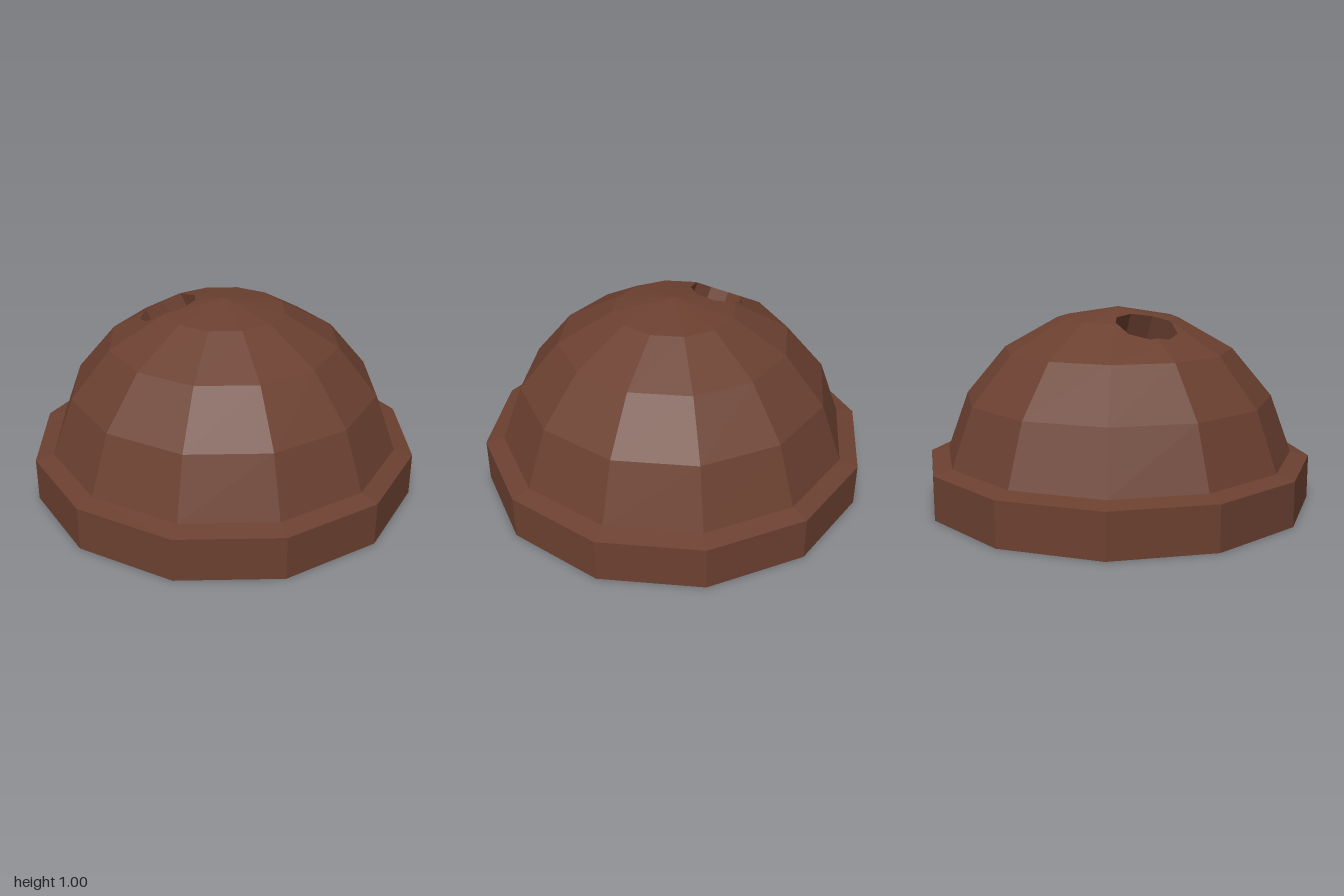
import * as THREE from 'three';

const SIDES = 12;
const HOLE_SIDES = 9;
const V = (x, y, z) => new THREE.Vector3(x, y, z);

// Keeps the part of a convex polygon on the positive side of a plane
function clip(poly, plane) {
  const out = [];
  poly.forEach((a, i) => {
    const b = poly[(i + 1) % poly.length];
    const da = plane.distanceToPoint(a), db = plane.distanceToPoint(b);
    if (da >= -1e-7) out.push(a);
    if ((da > 1e-7 && db < -1e-7) || (da < -1e-7 && db > 1e-7)) out.push(a.clone().lerp(b, da / (da - db)));
  });
  return out;
}

// Flat-shaded geometry from convex polygons, each turned to face its direction
function fromPolygons(polys) {
  const pts = [];
  for (const { poly, facing } of polys) {
    for (let i = 1; i < poly.length - 1; i++) {
      const tri = [poly[0], poly[i], poly[i + 1]];
      const n = tri[1].clone().sub(tri[0]).cross(tri[2].clone().sub(tri[0]));
      if (n.length() < 1e-9) continue;
      if (n.dot(facing) < 0) tri.reverse();
      pts.push(...tri);
    }
  }
  const g = new THREE.BufferGeometry().setFromPoints(pts);
  g.computeVertexNormals();
  return g;
}

export function createModel() {
  const group = new THREE.Group();
  const brown = new THREE.MeshStandardMaterial({ color: 0x6b4030 });
  brown.name = 'reddish brown';
  const add = (name, geometry) => {
    const mesh = new THREE.Mesh(geometry, brown);
    mesh.name = name;
    group.add(mesh);
  };

  // Base rim: short twelve-sided drum with a sloped shoulder
  const rim = new THREE.LatheGeometry(
    [[0, 0], [1, 0], [1, 0.225], [0.905, 0.247]].map(p => new THREE.Vector2(...p)), SIDES).toNonIndexed();
  rim.computeVertexNormals();
  add('baseRim', rim);

  // Slanted hole: outline swept along its axis, leaning out to the back
  const axis = V(-0.51 * Math.sin(0.44), Math.cos(0.44), -0.86 * Math.sin(0.44)).normalize();
  const centre = V(-0.151, 0.935, -0.249);
  const outline = Array.from({ length: HOLE_SIDES }, (_, k) => {
    const t = (20 + 40 * k) * Math.PI / 180;
    const p = V(centre.x + 0.157 * Math.cos(t), 0, centre.z + 0.138 * Math.sin(t));
    // follow the slope of the dome so the opening keeps its plan shape
    p.y = centre.y - 0.33 * (Math.hypot(p.x, p.z) - 0.29);
    return p;
  });
  const planes = outline.map((a, k) => {
    const b = outline[(k + 1) % HOLE_SIDES];
    const plane = new THREE.Plane().setFromNormalAndCoplanarPoint(b.clone().sub(a).cross(axis).normalize(), a);
    return plane.distanceToPoint(centre) > 0 ? plane.negate() : plane;
  });
  const floorPlane = new THREE.Plane().setFromNormalAndCoplanarPoint(axis, centre.clone().addScaledVector(axis, -0.7));
  const toFloor = p => p.clone().addScaledVector(axis, -floorPlane.distanceToPoint(p));

  // Dome: faceted rings, with every facet cut by the hole
  const profile = [[0.905, 0.247], [0.795, 0.545], [0.59, 0.79], [0.312, 0.947], [0, 1.003]];
  const ringPoint = ([r, y], i) => V(r * Math.sin(i * 2 * Math.PI / SIDES), y, r * Math.cos(i * 2 * Math.PI / SIDES));
  const dome = [], walls = [];
  for (let j = 0; j < profile.length - 1; j++) {
    for (let i = 0; i < SIDES; i++) {
      const top = j === profile.length - 2;
      const facet = [ringPoint(profile[j], i), ringPoint(profile[j], i + 1), ringPoint(profile[j + 1], i + 1)];
      if (!top) facet.push(ringPoint(profile[j + 1], i));
      const facing = facet[0].clone().add(facet[2]);
      const inside = planes.reduce((p, plane) => clip(p, plane.clone().negate()), facet);
      if (inside.length < 3) {
        dome.push({ poly: facet, facing });
        continue;
      }
      let rest = facet;
      for (const plane of planes) {
        dome.push({ poly: clip(rest, plane), facing });
        rest = clip(rest, plane.clone().negate());
      }
      // Hole wall below each cut edge
      rest.forEach((a, k) => {
        const b = rest[(k + 1) % rest.length];
        const cut = planes.find(p => Math.abs(p.distanceToPoint(a)) < 1e-5 && Math.abs(p.distanceToPoint(b)) < 1e-5);
        if (cut) walls.push({ poly: [a, b, toFloor(b), toFloor(a)], facing: cut.normal.clone().negate() });
      });
    }
  }
  walls.push({ poly: outline.map(toFloor), facing: axis });
  add('dome', fromPolygons(dome));
  add('slantedHole', fromPolygons(walls));
  return group;
}
